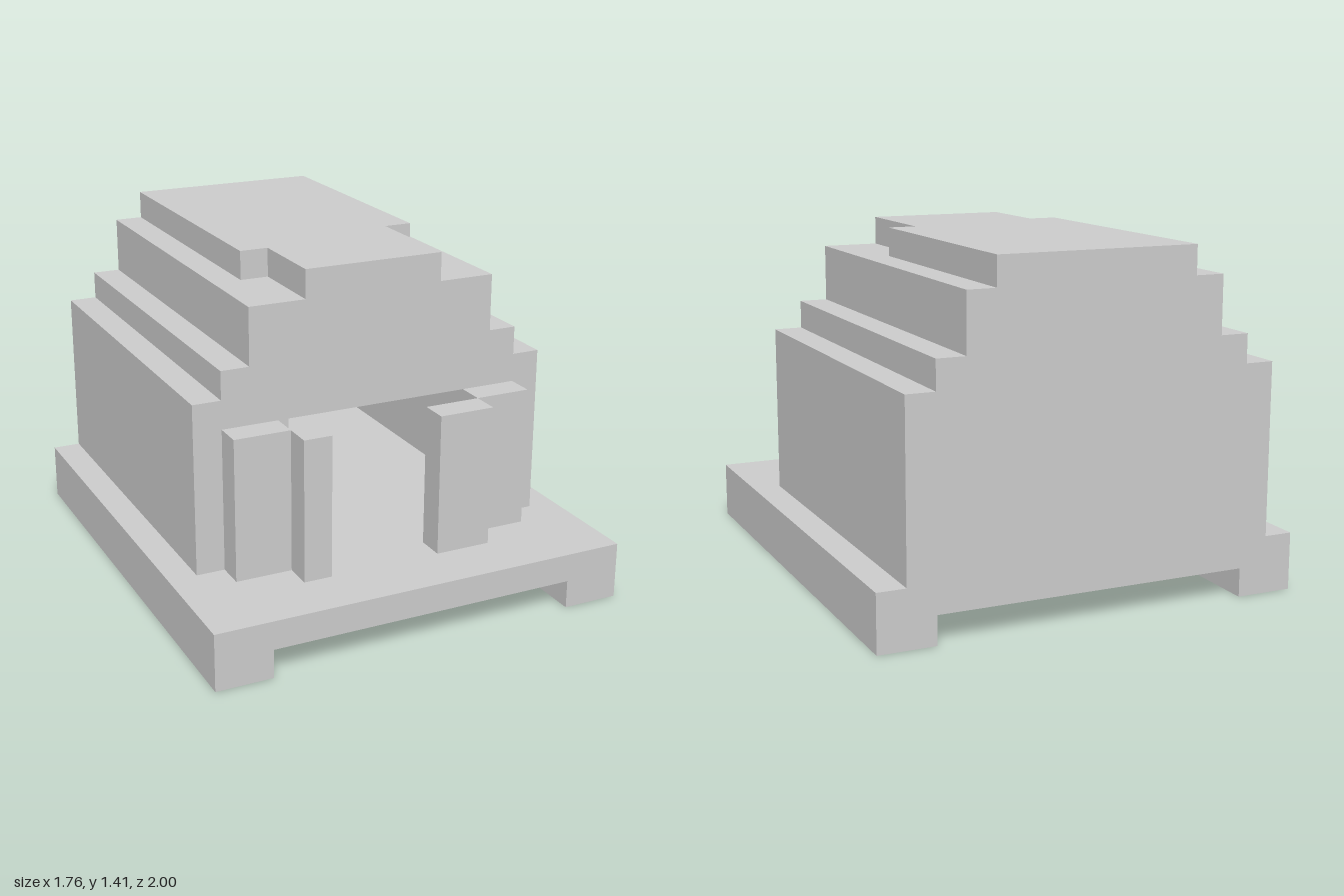
import * as THREE from 'three';

// All sizes below are in whole blocks; one block is 2/17 units.
const U = 2 / 17;
const material = new THREE.MeshStandardMaterial({ color: 0xcccccc, flatShading: true });

function add(group, name, geometry) {
  geometry.scale(U, U, U);
  const mesh = new THREE.Mesh(geometry, material);
  mesh.name = name;
  group.add(mesh);
}

function shapeOf(points) {
  return new THREE.Shape(points.map(([x, y]) => new THREE.Vector2(x, y)));
}

// Front outline (x, y) pulled along z
function prism(points, z0, z1) {
  return new THREE.ExtrudeGeometry(shapeOf(points), { depth: z1 - z0, bevelEnabled: false })
    .translate(0, 0, z0);
}

// Floor plan (x, z) raised along y
function slab(plan, y0, y1) {
  return new THREE.ExtrudeGeometry(shapeOf(plan.map(([x, z]) => [x, -z])), { depth: y1 - y0, bevelEnabled: false })
    .rotateX(-Math.PI / 2).translate(0, y0, 0);
}

function block(x0, x1, y0, y1, z0, z1) {
  return new THREE.BoxGeometry(x1 - x0, y1 - y0, z1 - z0)
    .translate((x0 + x1) / 2, (y0 + y1) / 2, (z0 + z1) / 2);
}

// Mirror a right-hand outline to the left, keeping a closed loop
function mirrored(half) {
  return [...half, ...half.map(([x, y]) => [-x, y]).reverse()];
}

export function createModel() {
  const model = new THREE.Group();
  model.name = 'steppedHouse';

  // Base: slab on two long runners
  add(model, 'base', prism(mirrored([[5.5, 1], [5.5, 0], [7.5, 0], [7.5, 2]]), -8.5, 8.5));

  // House: stepped outline with a wide doorway, closed by a back wall
  const steps = [[6.5, 2], [6.5, 8], [5.5, 8], [5.5, 9], [4.5, 9], [4.5, 11]];
  add(model, 'walls', prism(mirrored([[5.5, 7], [5.5, 2], ...steps]), -7.5, 4.5));
  add(model, 'backWall', prism(mirrored(steps), -8.5, -7.5));

  // Roof cap, notched at both front corners
  add(model, 'roofCap', slab([
    [-3.5, -8.5], [-3.5, 1.5], [-2.5, 1.5], [-2.5, 4.5],
    [2.5, 4.5], [2.5, 0.5], [3.5, 0.5], [3.5, -8.5],
  ], 11, 12));

  // Open folding doors in front of the doorway
  const doors = [[-5.5, -3.5, 4.5], [3.5, 5.5, 4.5], [-3.5, -2.5, 5.5], [1.5, 3.5, 5.5]];
  for (const [x0, x1, z] of doors) add(model, 'doorPanel', block(x0, x1, 2, 7, z, z + 1));

  // Counter inside, widening in steps towards the back
  add(model, 'counter', slab([
    [-5.5, 3.5], [-2.5, 3.5], [-2.5, -1.5], [-1.5, -1.5], [-1.5, -2.5],
    [-0.5, -2.5], [-0.5, -3.5], [0.5, -3.5], [0.5, -7.5], [-5.5, -7.5],
  ], 2, 4));

  return model;
}
